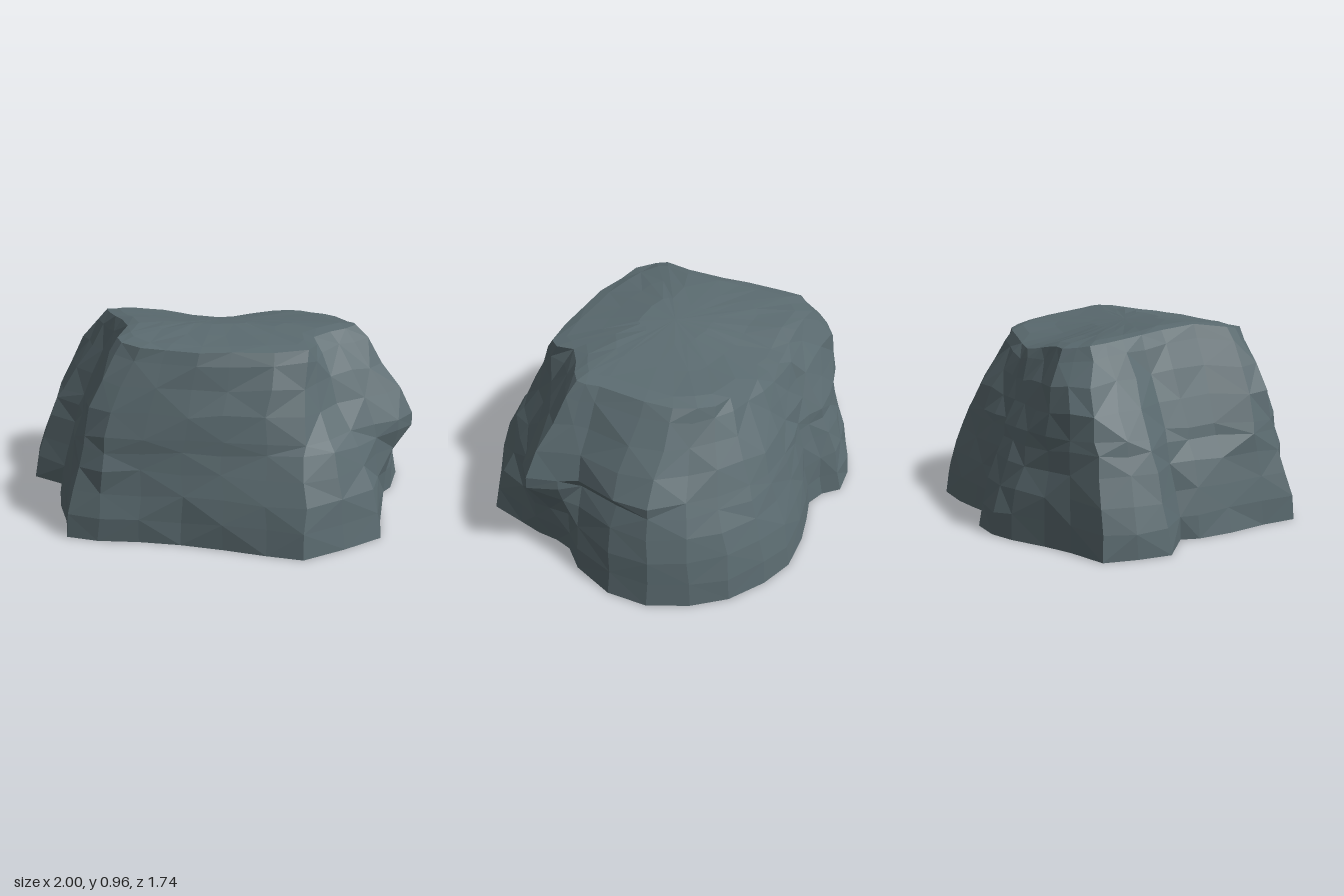
import * as THREE from 'three';

// Outlines as x, z pairs, anticlockwise seen from above, starting at +x
const BASE = [1, -.2, .98, -.4, .88, -.58, .75, -.72, .57, -.82, .4, -.87, .2, -.85, .05, -.81, -.07, -.77,
  -.17, -.8, -.25, -.87, -.4, -.85, -.52, -.79, -.67, -.68, -.8, -.6, -.98, -.52, -1, -.36, -1, -.2,
  -.82, -.07, -.84, .02, -.82, .2, -.77, .4, -.75, .58, -.6, .63, -.4, .65, -.2, .69, 0, .75,
  .2, .82, .37, .87, .58, .76, .77, .64, .8, .45, .82, .33, .82, .22, .84, .13, .93, .02];
const MIDDLE = [.92, -.18, .88, -.36, .78, -.5, .66, -.6, .5, -.69, .36, -.73, .18, -.72, .04, -.7, -.07, -.68,
  -.16, -.7, -.24, -.73, -.37, -.72, -.48, -.69, -.6, -.63, -.71, -.57, -.83, -.49, -.86, -.36, -.85, -.24,
  -.72, -.1, -.7, .03, -.68, .18, -.7, .37, -.66, .5, -.56, .57, -.38, .59, -.18, .61, 0, .63,
  .2, .66, .38, .68, .52, .62, .65, .51, .76, .4, .9, .33, .98, .25, .91, .12, .88, .04];
const SHOULDER = [.63, -.2, .6, -.33, .53, -.42, .46, -.48, .36, -.5, .24, -.51, .12, -.52, .02, -.53, -.06, -.55,
  -.14, -.54, -.22, -.53, -.32, -.52, -.42, -.52, -.5, -.52, -.55, -.47, -.59, -.42, -.58, -.34, -.56, -.25,
  -.53, -.14, -.49, -.02, -.45, .17, -.49, .33, -.47, .39, -.38, .46, -.26, .48, -.1, .51, .05, .5,
  .25, .49, .42, .46, .46, .4, .46, .3, .55, .23, .63, .18, .69, .13, .69, .08, .66, .02];
const COLS = BASE.length / 2;
const MID_Y = 0.46;

// Swellings and hollows on the flanks: x, y, z, radius, push outwards
const BUMPS = [
  [.47, .3, .74, .16, .025],     // knob at the front foot
  [.53, .63, .5, .13, -.08],     // cliff above the knob
  [-.72, .7, -.25, .13, -.05],   // step above the left lobe
  [-.64, .66, -.56, .16, .07],   // back left crest
  [-.6, .66, .1, .14, -.02],     // steep left face
  [-.6, .68, .43, .13, .02],     // front left corner
  [.66, .7, -.5, .2, -.05],      // worn back right corner
  [.95, .33, -.08, .15, -.05],   // waist below the right cleft
  [.88, .25, .22, .11, -.04],    // undercut below the shelf
];

// Small seeded generator for the chipped facets
function seeded(seed) {
  return () => {
    seed = (seed * 16807) % 2147483647;
    return seed / 2147483647 - 0.5;
  };
}

// Low ridge across the top, with a dip in the back rim
function topHeight(x, z) {
  const dip = 0.05 * Math.exp(-(x * x + (z + 0.5) ** 2) / 0.06);
  return 0.95 - 0.12 * Math.abs(z - 0.14) - 0.02 * x + 0.02 * x * x - dip;
}

function blend(from, to, j, t) {
  return [0, 1].map((k) => THREE.MathUtils.lerp(from[2 * j + k], to[2 * j + k], t));
}

// Pushes a flank point away from the upright axis, or towards it
function sculpt(x, y, z) {
  const radius = Math.hypot(x, z);
  let push = 0;
  for (const [bx, by, bz, r, amount] of BUMPS) {
    const d2 = (x - bx) ** 2 + (y - by) ** 2 + (z - bz) ** 2;
    push += amount * Math.exp(-d2 / (r * r));
  }
  return [x * (1 + push / radius), y, z * (1 + push / radius)];
}

function buildRings() {
  const rnd = seeded(4217);
  const rings = [];
  const addRing = (fn) => rings.push(Array.from({ length: COLS }, (_, j) => new THREE.Vector3(...fn(j))));

  // Lower flank, bulging outwards, with a cleft in the right side
  for (const t of [0, 0.25, 0.5, 0.75, 0.95]) {
    addRing((j) => {
      const [x, z] = blend(BASE, MIDDLE, j, t ** 1.5);
      if (t === 0) return [x, 0, z];
      const cleft = t === 0.95 && (j === 0 || j === COLS - 1) ? 0.05 : 0;
      const jitter = 0.02;
      return sculpt(x - cleft + jitter * rnd(), t * MID_Y + jitter * rnd(), z + jitter * rnd());
    });
  }
  // Upper flank, rising to the shoulder
  for (const t of [0.08, 0.35, 0.62, 0.86, 1]) {
    addRing((j) => {
      const [x, z] = blend(MIDDLE, SHOULDER, j, t ** 1.3);
      const rim = topHeight(SHOULDER[2 * j], SHOULDER[2 * j + 1]) - 0.01;
      const jitter = t < 1 ? 0.02 : 0.006;
      return sculpt(x + jitter * rnd(), THREE.MathUtils.lerp(MID_Y, rim, t) + jitter * rnd(), z + jitter * rnd());
    });
  }
  // Worn plateau
  for (const s of [0.88, 0.6, 0.3]) {
    addRing((j) => {
      const x = SHOULDER[2 * j] * s, z = SHOULDER[2 * j + 1] * s;
      return [x, topHeight(x, z) + 0.008 * s * rnd(), z];
    });
  }
  return rings;
}

// Joins the rings and closes the top and the underside
function buildRockGeometry() {
  const rings = buildRings();
  const points = rings.flat();
  const index = [];
  const at = (i, j) => i * COLS + (j % COLS);
  const top = points.push(new THREE.Vector3(0, topHeight(0, 0), 0)) - 1;
  const bottom = points.push(new THREE.Vector3(0, 0, 0)) - 1;
  for (let j = 0; j < COLS; j++) {
    for (let i = 0; i < rings.length - 1; i++) {
      const a = at(i, j), b = at(i, j + 1), c = at(i + 1, j + 1), d = at(i + 1, j);
      if ((i + j) % 2) index.push(a, b, c, a, c, d);
      else index.push(a, b, d, b, c, d);
    }
    index.push(top, at(rings.length - 1, j), at(rings.length - 1, j + 1));
    index.push(bottom, at(0, j + 1), at(0, j));
  }
  const indexed = new THREE.BufferGeometry().setFromPoints(points);
  indexed.setIndex(index);
  const geometry = indexed.toNonIndexed();
  geometry.computeVertexNormals();
  return geometry;
}

export function createModel() {
  const stone = new THREE.MeshStandardMaterial({ color: 0x5a6a6f, flatShading: true });
  stone.name = 'slate grey stone';
  const boulder = new THREE.Mesh(buildRockGeometry(), stone);
  boulder.name = 'boulder';
  const model = new THREE.Group();
  model.name = 'rock';
  model.add(boulder);
  return model;
}
